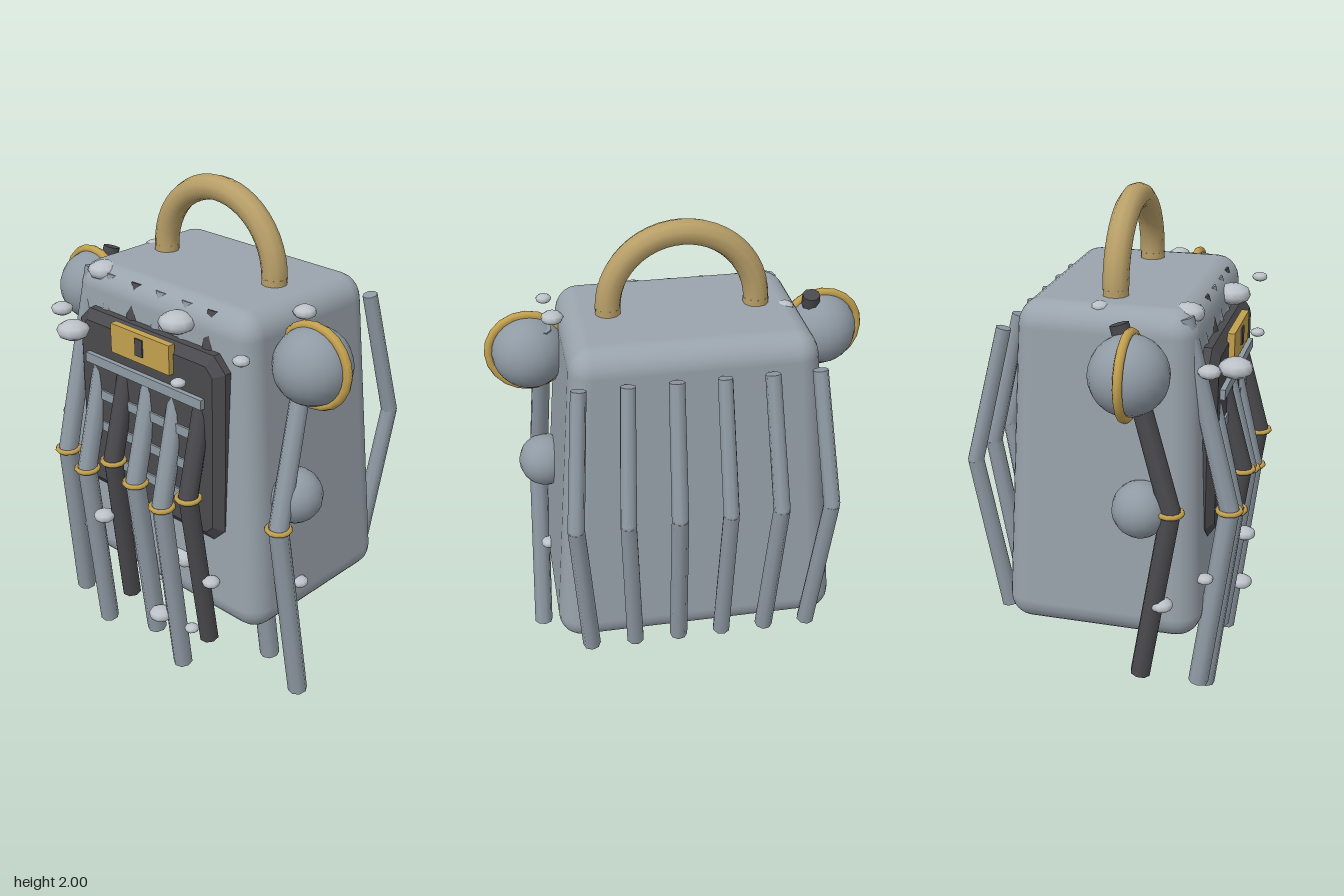
import * as THREE from 'three';
import { RoundedBoxGeometry } from 'three/addons/geometries/RoundedBoxGeometry.js';

const V = (x, y, z) => new THREE.Vector3(x, y, z);
const paint = (name, color) => {
  const m = new THREE.MeshStandardMaterial({ color });
  m.name = name;
  return m;
};

export function createModel() {
  const model = new THREE.Group();
  const shell = paint('shell grey', 0x9aa4ad);
  const steel = paint('steel grey', 0x8f9aa4);
  const dark = paint('charcoal', 0x4a494d);
  const brass = paint('brass', 0xb89f68);
  const gold = paint('gold trim', 0xc2a04e);
  const pale = paint('pale grey', 0xbcc2c8);

  const add = (name, geometry, material, pos = [0, 0, 0], parent = model) => {
    const mesh = new THREE.Mesh(geometry, material);
    mesh.name = name;
    mesh.position.set(...pos);
    parent.add(mesh);
    return mesh;
  };

  // Straight rod between two points
  const rod = (name, a, b, rA, rB, material, parent) => {
    const dir = b.clone().sub(a);
    const mid = a.clone().add(b).multiplyScalar(0.5);
    const mesh = add(name, new THREE.CylinderGeometry(rB, rA, dir.length(), 8), material, mid.toArray(), parent);
    mesh.quaternion.setFromUnitVectors(V(0, 1, 0), dir.normalize());
  };

  // Body: rounded box narrowing towards the top
  const bodyGeo = new RoundedBoxGeometry(1.14, 1.3, 0.78, 3, 0.1);
  const p = bodyGeo.attributes.position;
  for (let i = 0; i < p.count; i++) {
    const t = THREE.MathUtils.clamp((p.getY(i) + 0.55) / 1.1, -0.1, 1.1);
    p.setX(i, p.getX(i) * (1 - 0.165 * t));
    p.setZ(i, p.getZ(i) * (1 - 0.11 * t));
  }
  add('body', bodyGeo, shell, [0, 0.99, 0]);

  // Carrying handle
  add('handle', new THREE.TorusGeometry(0.29, 0.05, 10, 24, Math.PI), brass, [0, 1.66, 0]);
  for (const s of [-1, 1]) {
    add('handleFoot', new THREE.CylinderGeometry(0.05, 0.05, 0.06, 10), brass, [s * 0.29, 1.635, 0]);
  }

  // Front panel with grille bars and latch plate
  const h = 0.36, c = 0.04;
  const outline = new THREE.Shape([
    [-h, -0.39], [h, -0.39], [h + c, -0.35], [h + c, 0.35], [h, 0.39],
    [-h, 0.39], [-h - c, 0.35], [-h - c, -0.35],
  ].map(([x, y]) => new THREE.Vector2(x * 0.9, y * 0.9)));
  add('frontPanel', new THREE.ExtrudeGeometry(outline, {
    depth: 0.05, bevelThickness: 0.03, bevelSize: 0.038, bevelSegments: 1,
  }), dark, [0, 1.09, 0.33]);
  add('grilleTopBar', new THREE.BoxGeometry(0.64, 0.04, 0.03), steel, [0, 1.29, 0.415]);
  for (const y of [1.14, 1.0, 0.86]) {
    add('grilleBar', new THREE.BoxGeometry(0.5, 0.04, 0.02), steel, [0, y, 0.408]);
  }
  add('latchPlate', new THREE.BoxGeometry(0.32, 0.12, 0.03), gold, [0, 1.42, 0.418]);
  add('latchSlot', new THREE.BoxGeometry(0.04, 0.07, 0.008), dark, [0, 1.425, 0.435]);

  // Shoulder and elbow balls
  for (const s of [-1, 1]) {
    add('shoulderBall', new THREE.SphereGeometry(0.15, 20, 14), steel, [s * 0.595, 1.44, 0.13]);
    add('shoulderRing', new THREE.TorusGeometry(0.155, 0.018, 8, 20), gold, [s * 0.6, 1.44, 0.13]);
    add('elbowBall', new THREE.SphereGeometry(0.11, 16, 12), steel, [s * 0.56, 0.9, 0.165]);
  }

  // Hanging legs: two rods with a ring at the knee
  const leg = (top, knee, foot, material) => {
    const g = new THREE.Group();
    g.name = 'hangingLeg';
    model.add(g);
    const [a, b, d] = [V(...top), V(...knee), V(...foot)];
    rod('upperLeg', a, b, 0.036, 0.04, material, g);
    rod('lowerLeg', b, d, 0.04, 0.04, material, g);
    add('knee', new THREE.SphereGeometry(0.04, 8, 6), material, knee, g);
    const ring = add('kneeRing', new THREE.TorusGeometry(0.045, 0.01, 6, 12), gold, knee, g);
    ring.rotation.x = Math.PI / 2;
  };
  const drop = [[0.81, 0.01], [0.86, 0.11], [0.91, 0.22]];
  // [top x, knee x, foot x, drop index, material]
  for (const [x0, x1, x2, k, m] of [
    [-0.41, -0.41, -0.46, 1, steel], [-0.28, -0.295, -0.31, 0, steel],
    [-0.135, -0.128, -0.155, 2, dark], [0, 0, 0, 1, steel],
    [0.14, 0.148, 0.155, 0, steel], [0.27, 0.295, 0.31, 2, dark],
  ]) {
    leg([x0, 1.61, 0.29], [x1, drop[k][0], 0.475], [x2, drop[k][1], 0.38], m);
  }
  leg([-0.54, 1.61, 0.08], [-0.585, 0.91, 0.285], [-0.62, 0.22, 0.18], dark);
  leg([0.54, 1.56, 0.08], [0.585, 0.81, 0.285], [0.62, 0.01, 0.18], steel);
  leg([0.4, 1.5, 0.08], [0.43, 0.86, 0.26], [0.465, 0.11, 0.18], steel);

  // Bent ribs across the back
  for (let i = 0; i < 6; i++) {
    const x = (i - 2.5) * 0.18, kx = x * 1.1;
    const [a, b, d] = [V(x, 1.53, -0.39), V(kx, 1.0, -0.51), V(x, 0.355, -0.41)];
    rod('upperRib', a, b, 0.03, 0.033, steel);
    rod('lowerRib', b, d, 0.033, 0.036, steel);
    add('ribJoint', new THREE.SphereGeometry(0.033, 8, 6), steel, b.toArray());
  }

  // Scattered flattened pebbles: [x, y, z, radius]
  const pebble = new THREE.SphereGeometry(1, 9, 6);
  for (const [x, y, z, r] of [
    [-0.35, 1.61, 0.29, 0.065], [-0.34, 1.41, 0.47, 0.067], [0.14, 1.55, 0.37, 0.072],
    [0.5, 1.605, 0.07, 0.045], [0.51, 1.525, 0.42, 0.033], [-0.49, 1.44, 0.4, 0.045],
    [0.235, 1.365, 0.46, 0.03], [-0.4, 1.625, -0.03, 0.036], [-0.61, 0.53, 0.26, 0.045],
    [-0.48, 0.59, 0.4, 0.034], [-0.37, 0.475, 0.4, 0.035], [-0.17, 0.645, 0.5, 0.045],
    [0.17, 0.54, 0.36, 0.07], [0.36, 0.53, 0.42, 0.037], [-0.02, 0.29, 0.13, 0.065],
    [0.1, 0.265, 0.45, 0.05], [0.23, 0.23, 0.4, 0.03], [0.57, 0.49, 0.13, 0.036],
    [-0.07, 0.31, 0.31, 0.04],
  ]) {
    add('pebble', pebble, pale, [x, y, z]).scale.set(r, r * 0.58, r);
  }
  return model;
}
